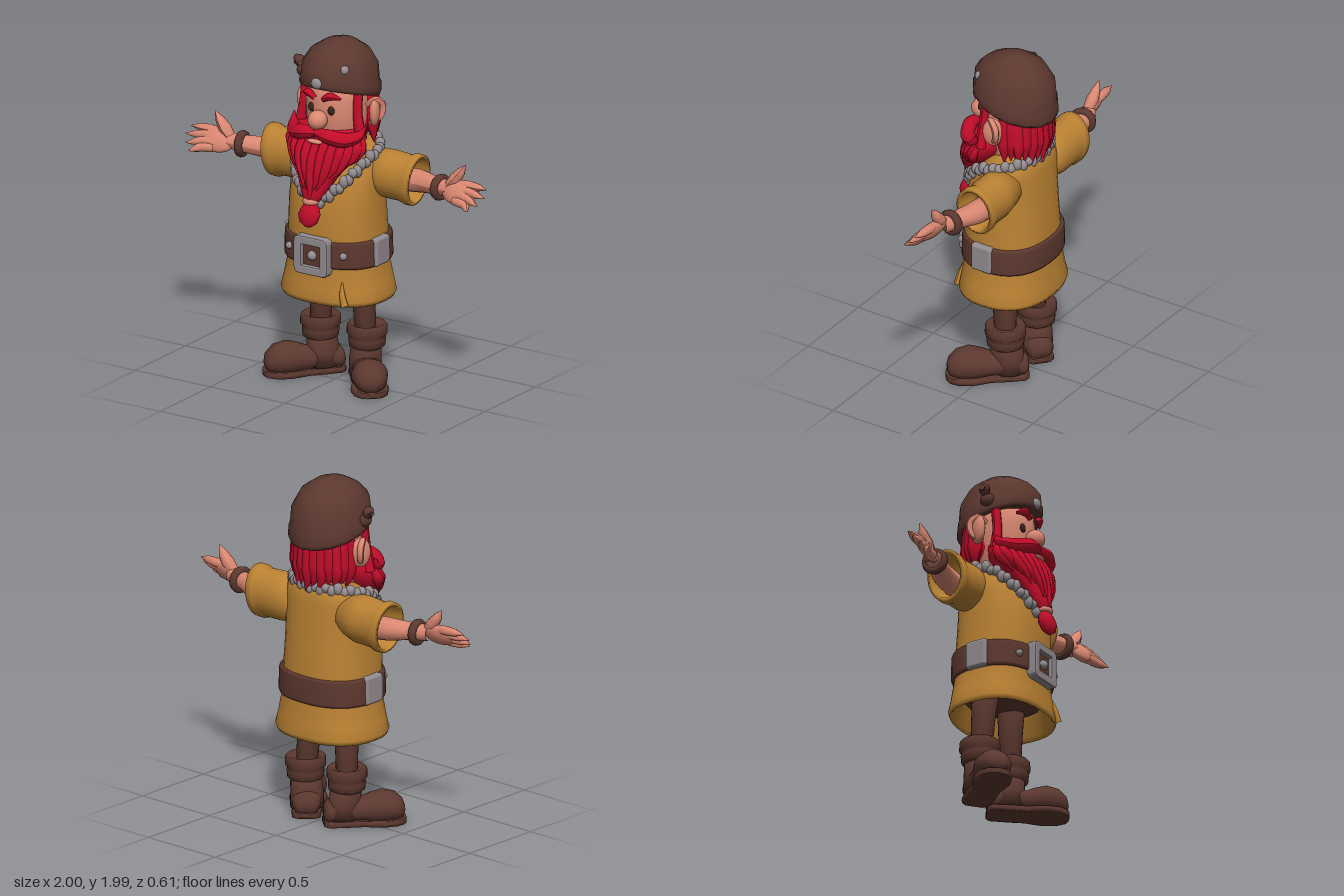
import * as THREE from 'three';
import { mergeGeometries } from 'three/addons/utils/BufferGeometryUtils.js';
import { RoundedBoxGeometry } from 'three/addons/geometries/RoundedBoxGeometry.js';

const paint = (name, color) => Object.assign(new THREE.MeshStandardMaterial({ color }), { name });
const V = (p) => new THREE.Vector3(...p);

// Closed skin over elliptical rings [centre x, y, z, radius a, radius b], stacked along y or x
function loft(rings, { axis = 'y', n = 24, p = 2, capStart = true, capEnd = true, warp } = {}) {
  const pos = [], idx = [];
  const bend = (c) => Math.sign(c) * Math.abs(c) ** (2 / p);
  for (const [x, y, z, a, b] of rings) {
    for (let j = 0; j < n; j++) {
      const t = (j / n) * Math.PI * 2, c = bend(Math.cos(t)), s = bend(Math.sin(t));
      if (axis === 'y') pos.push(x + a * c, y, z + b * s);
      else pos.push(x, y + a * s, z + b * c);
    }
  }
  for (let i = 0; i < rings.length - 1; i++) {
    for (let j = 0; j < n; j++) {
      const a = i * n + j, b = i * n + (j + 1) % n;
      idx.push(a, a + n, b, b, a + n, b + n);
    }
  }
  const cap = (i, flip) => {
    const c = pos.length / 3;
    pos.push(...rings[i].slice(0, 3));
    for (let j = 0; j < n; j++) {
      const a = i * n + j, b = i * n + (j + 1) % n;
      idx.push(c, ...(flip ? [a, b] : [b, a]));
    }
  };
  if (capStart) cap(0, true);
  if (capEnd) cap(rings.length - 1, false);
  const g = new THREE.BufferGeometry();
  g.setAttribute('position', new THREE.Float32BufferAttribute(pos, 3));
  g.setIndex(idx);
  if (warp) reshape(g, warp);
  g.computeVertexNormals();
  return g;
}

function reshape(g, rule) {
  const a = g.attributes.position, v = new THREE.Vector3();
  for (let i = 0; i < a.count; i++) {
    rule(v.fromBufferAttribute(a, i), i);
    a.setXYZ(i, v.x, v.y, v.z);
  }
  return g;
}

function ball(x, y, z, rx, ry = rx, rz = rx, w = 16, h = 12) {
  return new THREE.SphereGeometry(1, w, h).scale(rx, ry, rz).translate(x, y, z);
}

// Tube through a few points whose thickness follows the list of radii
function strand(points, radii, steps = 12, sides = 8) {
  const curve = new THREE.CatmullRomCurve3(points.map(V));
  const g = new THREE.TubeGeometry(curve, steps, 1, sides);
  const centres = curve.getSpacedPoints(steps);
  reshape(g, (v, i) => {
    const k = Math.floor(i / (sides + 1)), f = (k / steps) * (radii.length - 1);
    const m = Math.min(Math.floor(f), radii.length - 2);
    const r = THREE.MathUtils.lerp(radii[m], radii[m + 1], f - m);
    v.sub(centres[k]).multiplyScalar(r).add(centres[k]);
  });
  g.computeVertexNormals();
  return g;
}

function mirrored(g) {
  const m = g.clone().scale(-1, 1, 1), ix = m.index;
  for (let i = 0; i < ix.count; i += 3) {
    const b = ix.getX(i + 1);
    ix.setX(i + 1, ix.getX(i + 2));
    ix.setX(i + 2, b);
  }
  return m;
}

export function createModel() {
  const skin = paint('skin', 0xdb8872), gold = paint('goldCloth', 0xbb8233), brown = paint('brownLeather', 0x5c382f);
  const red = paint('redHair', 0xc20c2a), grey = paint('greyMetalAndFur', 0x938c90), dark = paint('darkEye', 0x38231e);
  const model = new THREE.Group();
  model.name = 'beardedMan';
  const add = (name, geo, mat) => {
    const mesh = new THREE.Mesh(geo, mat);
    mesh.name = name;
    model.add(mesh);
  };
  const pair = (name, geo, mat) => {
    add(name + 'Left', geo, mat);
    add(name + 'Right', mirrored(geo), mat);
  };

  // Tunic with a rolled hem that is open underneath
  add('tunic', loft([
    [0, 0.66, -0.035, 0.25, 0.21], [0, 0.53, -0.035, 0.295, 0.245], [0, 0.508, -0.035, 0.312, 0.26],
    [0, 0.535, -0.035, 0.324, 0.268], [0, 0.6, -0.035, 0.308, 0.257], [0, 0.72, -0.035, 0.282, 0.243],
    [0, 0.88, -0.03, 0.276, 0.242], [0, 1.05, -0.025, 0.268, 0.235], [0, 1.2, -0.035, 0.268, 0.212],
    [0, 1.3, -0.06, 0.262, 0.18], [0, 1.37, -0.09, 0.235, 0.14], [0, 1.405, -0.1, 0.15, 0.1],
  ], { n: 36, p: 2.4, capStart: false }), gold);
  add('tunicFold', strand([[0.17, 0.65, 0.185], [0.18, 0.58, 0.2], [0.2, 0.52, 0.205]], [0.004, 0.017, 0.022]), gold);
  add('breeches', ball(0, 0.65, -0.035, 0.26, 0.05, 0.215), brown);
  pair('sleeve', loft([
    [0.18, 1.25, -0.1, 0.12, 0.11], [0.3, 1.235, -0.1, 0.14, 0.12], [0.41, 1.23, -0.1, 0.138, 0.112],
    [0.445, 1.23, -0.1, 0.152, 0.12], [0.485, 1.23, -0.1, 0.15, 0.12], [0.49, 1.23, -0.1, 0.13, 0.098],
    [0.4, 1.23, -0.1, 0.11, 0.085],
  ], { axis: 'x', warp: (v) => { v.x += (v.y - 1.23) * 0.13; } }), gold);

  // Belt, side plates, studs and square buckle
  add('belt', loft([
    [0, 0.725, -0.035, 0.27, 0.23], [0, 0.725, -0.035, 0.296, 0.252], [0, 0.74, -0.035, 0.302, 0.257],
    [0, 0.865, -0.035, 0.298, 0.255], [0, 0.88, -0.035, 0.29, 0.25], [0, 0.88, -0.035, 0.26, 0.23],
  ], { n: 36, p: 2.4, capStart: false, capEnd: false }), brown);
  for (const s of [-1, 1]) {
    add('beltPlate', new RoundedBoxGeometry(0.05, 0.165, 0.135, 3, 0.018).translate(s * 0.285, 0.805, -0.02), grey);
    add('beltStud', ball(s * 0.18, 0.805, 0.19, 0.021), grey);
  }
  const square = (Type, h, r) => {
    const s = new Type();
    s.moveTo(-h + r, -h).lineTo(h - r, -h).quadraticCurveTo(h, -h, h, -h + r).lineTo(h, h - r);
    s.quadraticCurveTo(h, h, h - r, h).lineTo(-h + r, h).quadraticCurveTo(-h, h, -h, h - r);
    s.lineTo(-h, -h + r).quadraticCurveTo(-h, -h, -h + r, -h);
    return s;
  };
  const frame = (outer, inner, depth, z) => {
    const s = square(THREE.Shape, outer, outer * 0.25);
    s.holes.push(square(THREE.Path, inner, inner * 0.15));
    return new THREE.ExtrudeGeometry(s, { depth, bevelSize: 0.01, bevelThickness: 0.01, bevelSegments: 2, curveSegments: 4 })
      .translate(0, 0.79, z);
  };
  add('buckleFrame', frame(0.102, 0.07, 0.055, 0.19), grey);
  add('bucklePad', new THREE.BoxGeometry(0.15, 0.15, 0.05).translate(0, 0.79, 0.205), brown);
  add('buckleStud', ball(0, 0.79, 0.232, 0.028), grey);

  // Arms, bracelets and hands
  pair('arm', strand([[0.35, 1.21, -0.11], [0.5, 1.228, -0.105], [0.62, 1.235, -0.07], [0.74, 1.245, -0.045]],
    [0.068, 0.066, 0.052, 0.045], 12, 14), skin);
  pair('bracelet', new THREE.TorusGeometry(0.056, 0.021, 8, 20).scale(1, 1, 1.2).rotateY(Math.PI / 2 - 0.15)
    .translate(0.662, 1.235, -0.06), brown);
  const hand = [ball(0, 0, 0, 0.105, 0.073, 0.036).rotateX(-0.55).rotateY(-0.15).translate(0.795, 1.243, -0.025)];
  const tips = [[0.985, 1.288, -0.035], [0.998, 1.25, 0], [0.975, 1.212, 0.037], [0.935, 1.182, 0.07]];
  tips.forEach(([x, y, z], i) => hand.push(strand(
    [[0.8, 1.285 - i * 0.027, -0.045 + i * 0.02], [0.88, 1.288 - i * 0.03, -0.045 + i * 0.025], [x - 0.01, y, z], [x, y, z]],
    [0.024, 0.028, 0.023, 0.002])));
  hand.push(strand([[0.73, 1.265, -0.045], [0.79, 1.335, -0.05], [0.825, 1.385, -0.05], [0.835, 1.4, -0.05]],
    [0.03, 0.037, 0.027, 0.003]));
  pair('hand', mergeGeometries(hand), skin);

  // Legs and boots, toes turned out
  pair('leg', loft([[0.15, 0.28, -0.08, 0.058, 0.062], [0.14, 0.5, -0.07, 0.064, 0.07], [0.13, 0.66, -0.06, 0.075, 0.08]]), brown);
  pair('bootCuff', loft([
    [0.155, 0.195, -0.085, 0.08, 0.08], [0.155, 0.21, -0.085, 0.1, 0.105], [0.155, 0.25, -0.085, 0.104, 0.108],
    [0.155, 0.268, -0.085, 0.1, 0.103], [0.155, 0.28, -0.085, 0.114, 0.116], [0.155, 0.325, -0.085, 0.112, 0.114],
    [0.155, 0.338, -0.085, 0.1, 0.102], [0.155, 0.32, -0.085, 0.06, 0.065],
  ]), brown);
  pair('bootAnkle', loft([[0.14, 0.04, -0.09, 0.09, 0.1], [0.14, 0.12, -0.09, 0.088, 0.098], [0.15, 0.22, -0.085, 0.082, 0.09]]), brown);
  const footRings = [[-0.115, 0.07, 0, 0.04, 0.05], [-0.09, 0.08, 0, 0.07, 0.078], [0, 0.09, 0, 0.085, 0.082],
    [0.1, 0.085, 0, 0.07, 0.08], [0.15, 0.09, 0, 0.085, 0.092], [0.21, 0.095, 0, 0.095, 0.103],
    [0.28, 0.09, 0, 0.085, 0.092], [0.325, 0.08, 0, 0.055, 0.06], [0.338, 0.075, 0, 0.02, 0.025]];
  const place = (g) => g.rotateY(-0.87).translate(0.14, 0, -0.09);
  pair('bootFoot', place(loft(footRings, { axis: 'x', warp: (v) => { v.y = Math.max(v.y, 0.02); } })), brown);
  pair('bootSole', place(loft(footRings.map(([x, , z, , b]) => [x * 1.02, 0.016, z, 0.08, b * 1.04]),
    { axis: 'x', warp: (v) => { v.y = THREE.MathUtils.clamp(v.y, 0, 0.032); } })), brown);

  // Head and face
  add('head', loft([[0, 1.3, -0.06, 0.1, 0.1], [0, 1.42, -0.03, 0.15, 0.16], [0, 1.55, -0.03, 0.178, 0.182],
    [0, 1.66, -0.03, 0.18, 0.183], [0, 1.78, -0.04, 0.17, 0.175]]), skin);
  add('nose', ball(0, 1.57, 0.178, 0.056, 0.056, 0.058), skin);
  add('lip', ball(0, 1.452, 0.205, 0.05, 0.013, 0.02), skin);
  pair('ear', ball(0, 0, 0, 0.03, 0.086, 0.058).rotateY(0.45).translate(0.228, 1.6, -0.05), skin);
  pair('earRim', strand([[0.2, 1.64, -0.01], [0.235, 1.675, -0.04], [0.258, 1.64, -0.085], [0.25, 1.57, -0.08], [0.21, 1.53, -0.03]],
    [0.012, 0.018, 0.019, 0.018, 0.012]), skin);
  pair('eye', ball(0.065, 1.625, 0.14, 0.022, 0.026, 0.012), dark);
  pair('eyebrow', strand([[0.025, 1.69, 0.165], [0.07, 1.715, 0.16], [0.125, 1.7, 0.13]], [0.014, 0.024, 0.006]), red);

  // Beard: a tapering mass covered with locks
  const beard = [[0, 1.1, 0.235, 0.04, 0.038], [0, 1.16, 0.218, 0.075, 0.05], [0, 1.25, 0.178, 0.125, 0.08],
    [0, 1.35, 0.115, 0.195, 0.115], [0, 1.43, 0.07, 0.232, 0.125], [0, 1.51, 0.04, 0.2, 0.12]];
  add('beardMass', loft(beard), red);
  const onBeard = (phi, y) => {
    const i = Math.max(0, beard.findIndex((r) => r[1] >= y) - 1), a = beard[i], b = beard[i + 1];
    const [, , z, rx, rz] = a.map((c, k) => THREE.MathUtils.lerp(c, b[k], (y - a[1]) / (b[1] - a[1])));
    return [rx * Math.sin(phi), y, z + rz * Math.cos(phi)];
  };
  const locks = [];
  for (let k = -6; k <= 6; k++) {
    const phi = k * 0.25, end = 1.115 + Math.abs(k) * 0.034 + (k % 2 ? 0.035 : 0);
    const ys = [1.47, (1.47 + end) / 2 + 0.03, end + 0.04, end];
    locks.push(strand(ys.map((y, i) => onBeard(phi + (i === 2 ? 0.1 : 0), y)), [0.02, 0.033, 0.026, 0.003]));
  }
  add('beardLocks', mergeGeometries(locks), red);
  add('beardTie', new THREE.TorusGeometry(0.032, 0.018, 8, 16).rotateX(Math.PI / 2).translate(0, 1.115, 0.24), skin);
  add('beardTip', loft([[0, 0.972, 0.272, 0.02, 0.015], [0, 0.995, 0.268, 0.055, 0.035], [0, 1.04, 0.26, 0.07, 0.045],
    [0, 1.08, 0.25, 0.052, 0.04], [0, 1.12, 0.24, 0.025, 0.025]], { n: 12 }), red);
  pair('moustache', strand([[0, 1.505, 0.195], [0.08, 1.495, 0.2], [0.165, 1.475, 0.155], [0.22, 1.495, 0.085], [0.24, 1.545, 0.05]],
    [0.026, 0.042, 0.044, 0.034, 0.003], 18, 10), red);

  // Hair at the back and sides
  add('hairMass', ball(0, 1.56, -0.1, 0.19, 0.18, 0.155), red);
  const hair = [];
  for (let k = -6; k <= 6; k++) {
    const a = k * 0.23, s = Math.sin(a), c = Math.cos(a), end = 1.365 + (k % 2 ? 0.025 : 0) + Math.abs(k) * 0.006;
    hair.push(strand([[0.17 * s, 1.72, -0.07 - 0.13 * c], [0.18 * s, 1.57, -0.07 - 0.15 * c],
      [0.19 * s, 1.45, -0.07 - 0.16 * c], [0.18 * s + 0.015, end, -0.07 - 0.165 * c]], [0.035, 0.045, 0.042, 0.004]));
  }
  add('hairLocks', mergeGeometries(hair), red);
  pair('sideburn', strand([[0.175, 1.74, 0.03], [0.18, 1.6, 0.045], [0.205, 1.46, 0.05]], [0.027, 0.027, 0.035]), red);

  // Fur collar of small tufts, meeting in a V
  const collar = new THREE.CatmullRomCurve3([[0, 1.385, -0.215], [0.14, 1.395, -0.19], [0.235, 1.375, -0.09], [0.225, 1.325, 0.05],
    [0.15, 1.21, 0.165], [0.04, 1.11, 0.215]].map(V));
  const tufts = collar.getSpacedPoints(22).map((q, i) => ball(q.x, q.y + (i % 2 ? 0.008 : -0.008), q.z,
    0.03, 0.03 + (i % 3) * 0.004, 0.028, 8, 6));
  pair('furCollar', mergeGeometries(tufts), grey);

  // Cap tilted to the back, with a band, a knot and studs
  add('cap', loft([
    [0, 1.7, -0.05, 0.19, 0.215], [0, 1.69, -0.05, 0.215, 0.24], [0, 1.71, -0.05, 0.224, 0.247], [0, 1.755, -0.05, 0.222, 0.246],
    [0, 1.768, -0.05, 0.212, 0.24], [0, 1.85, -0.05, 0.203, 0.235], [0, 1.925, -0.05, 0.16, 0.18],
    [0, 1.975, -0.045, 0.085, 0.1], [0, 1.992, -0.04, 0.02, 0.025],
  ], { n: 16, warp: (v) => { v.y += (v.z + 0.05) * 0.27 * (1 - (v.y - 1.69) / 0.3); } }), brown);
  add('capKnot', ball(-0.215, 1.775, 0, 0.035, 0.04, 0.04, 10, 8), brown);
  add('capKnotEnd', strand([[-0.21, 1.78, 0], [-0.235, 1.815, 0], [-0.25, 1.835, 0], [-0.27, 1.83, 0]], [0.02, 0.026, 0.034, 0.015]), brown);
  add('capStudFront', ball(0, 1.787, 0.188, 0.034, 0.032, 0.022), grey);
  add('capStudSide', ball(0.128, 1.865, 0.103, 0.028), grey);
  return model;
}
